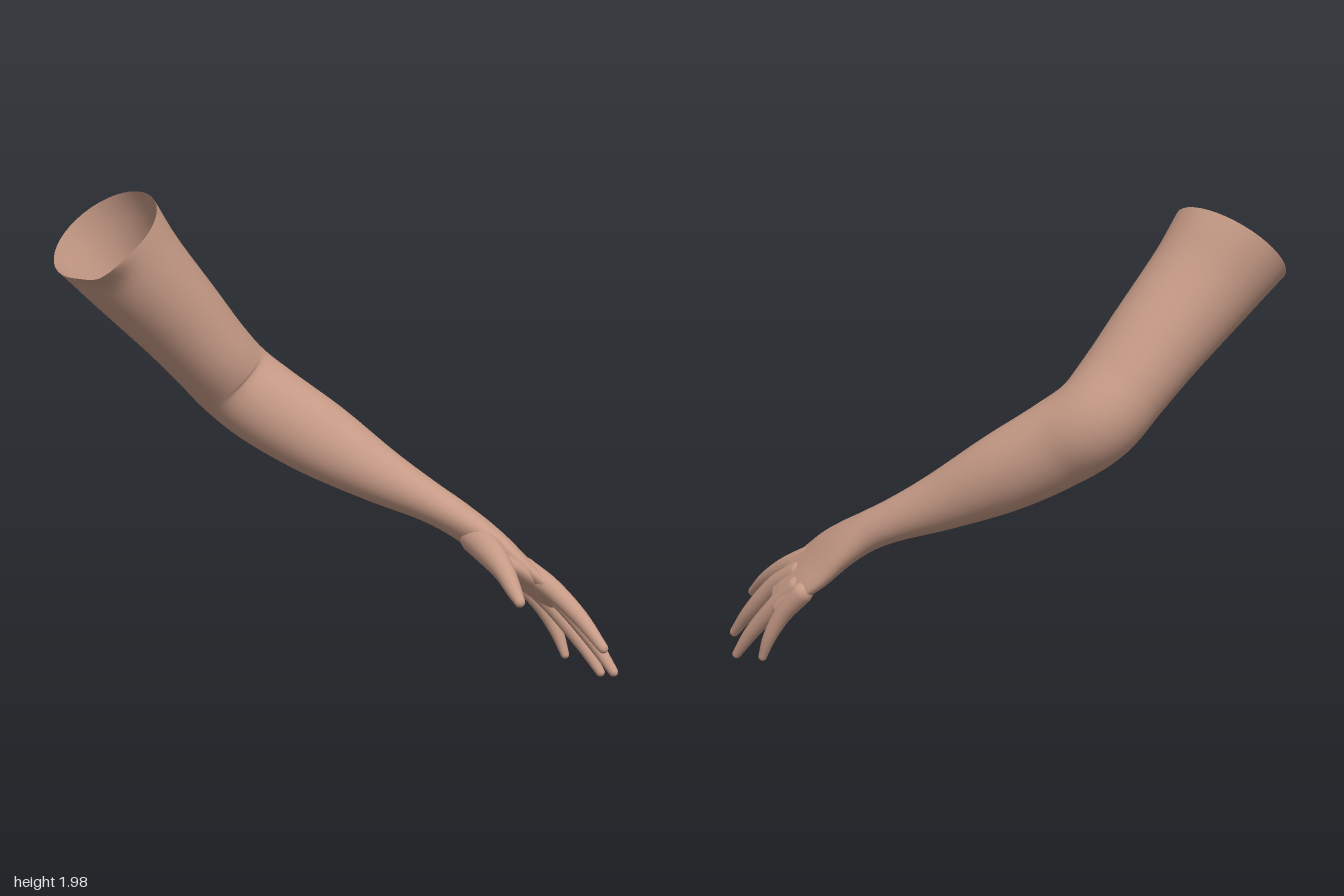
import * as THREE from 'three';

const skin = new THREE.MeshStandardMaterial({ color: 0xc69a86, side: THREE.DoubleSide });
skin.name = 'skin';

const REF = new THREE.Vector3(0.2, 0, -1);

// Smooth skin through elliptical sections [x, y, z, radiusA, radiusB], rounded at the far end.
// warp(point, angle, u, tangent) may reshape single points.
function loft(name, sections, { steps = 5, sides = 24, warp = null, roundStart = false } = {}) {
  const path = new THREE.CatmullRomCurve3(
    sections.map(s => new THREE.Vector3(s[0], s[1], s[2])), false, 'catmullrom');
  const radii = new THREE.CatmullRomCurve3(
    sections.map(s => new THREE.Vector3(s[3], s[4] ?? s[3], 0)), false, 'catmullrom');
  const positions = [], index = [];
  let rings = 0;

  const ring = (u, scale = 1, push = 0) => {
    const t = path.getTangent(u);
    const r = radii.getPoint(u);
    const c = path.getPoint(u).addScaledVector(t, push * r.y);
    const a = REF.clone().addScaledVector(t, -REF.dot(t)).normalize();
    const b = new THREE.Vector3().crossVectors(t, a);
    for (let j = 0; j < sides; j++) {
      const angle = (j / sides) * Math.PI * 2;
      const p = c.clone()
        .addScaledVector(a, Math.cos(angle) * r.x * scale)
        .addScaledVector(b, Math.sin(angle) * r.y * scale);
      if (warp) warp(p, angle, u, t);
      positions.push(p.x, p.y, p.z);
    }
    rings++;
  };

  const capAngles = [0.35, 0.7, 1.05, 1.35, 1.56];
  if (roundStart) [...capAngles].reverse().forEach(k => ring(0, Math.cos(k), -Math.sin(k)));
  const count = (sections.length - 1) * steps;
  for (let i = 0; i <= count; i++) ring(i / count);
  capAngles.forEach(k => ring(1, Math.cos(k), Math.sin(k)));

  for (let i = 0; i < rings - 1; i++) {
    for (let j = 0; j < sides; j++) {
      const k = (j + 1) % sides;
      const p = i * sides + j, q = i * sides + k;
      index.push(p, q, p + sides, q, q + sides, p + sides);
    }
  }
  const geometry = new THREE.BufferGeometry();
  geometry.setAttribute('position', new THREE.Float32BufferAttribute(positions, 3));
  geometry.setIndex(index);
  geometry.computeVertexNormals();
  const mesh = new THREE.Mesh(geometry, skin);
  mesh.name = name;
  return mesh;
}

// Open shoulder rim: higher at the back, with one corner pulled out to a point
function shapeRim(p, angle, u, t) {
  const fade = Math.max(0, 1 - u / 0.08);
  if (fade === 0) return;
  p.addScaledVector(t, -0.06 * Math.cos(angle) * fade);
  const toCorner = p.clone().sub(new THREE.Vector3(-0.8, 1.7, -0.5)).length();
  const pull = Math.exp(-((toCorner / 0.09) ** 2)) * fade * fade;
  p.add(new THREE.Vector3(-0.06, -0.02, 0.07).multiplyScalar(pull));
}

export function createModel() {
  const model = new THREE.Group();
  model.name = 'arm';

  // Upper arm, elbow, forearm, wrist and palm in one skin
  model.add(loft('armAndPalm', [
    [-0.67, 1.83, -0.69, 0.235, 0.245],
    [-0.55, 1.68, -0.66, 0.222, 0.22],
    [-0.36, 1.47, -0.63, 0.21, 0.195],
    [-0.22, 1.31, -0.61, 0.205, 0.18],
    [-0.10, 1.18, -0.59, 0.192, 0.178],
    [0.00, 1.07, -0.48, 0.17, 0.178],
    [0.15, 0.935, -0.31, 0.15, 0.162],
    [0.30, 0.80, -0.11, 0.122, 0.12],
    [0.42, 0.705, 0.05, 0.1, 0.087],
    [0.49, 0.64, 0.16, 0.1, 0.075],
    [0.555, 0.56, 0.27, 0.13, 0.068],
    [0.62, 0.46, 0.38, 0.163, 0.058],
    [0.685, 0.37, 0.48, 0.158, 0.044],
    [0.715, 0.33, 0.525, 0.142, 0.032],
  ], { sides: 40, steps: 6, warp: shapeRim }));

  // Digits, each from inside the palm to the tip
  const digits = {
    thumb: [
      [0.51, 0.57, 0.27, 0.066], [0.465, 0.54, 0.42, 0.06], [0.415, 0.5, 0.56, 0.044],
      [0.372, 0.45, 0.67, 0.032], [0.347, 0.42, 0.735, 0.022]],
    indexFinger: [
      [0.60, 0.47, 0.47, 0.046], [0.64, 0.40, 0.60, 0.043],
      [0.655, 0.31, 0.755, 0.034], [0.65, 0.215, 0.9, 0.021]],
    middleFinger: [
      [0.67, 0.42, 0.44, 0.045], [0.71, 0.34, 0.57, 0.041],
      [0.757, 0.2, 0.71, 0.033], [0.782, 0.075, 0.825, 0.02]],
    ringFinger: [
      [0.71, 0.38, 0.38, 0.045], [0.76, 0.28, 0.48, 0.039],
      [0.813, 0.14, 0.6, 0.031], [0.845, 0.028, 0.682, 0.019]],
    littleFinger: [
      [0.72, 0.37, 0.32, 0.045], [0.77, 0.265, 0.4, 0.037],
      [0.806, 0.155, 0.455, 0.028], [0.82, 0.065, 0.492, 0.018]],
  };
  for (const [name, sections] of Object.entries(digits)) {
    model.add(loft(name, sections, { sides: 18, roundStart: true }));
  }

  // Web of skin between thumb and index finger
  model.add(loft('thumbWeb', [
    [0.45, 0.535, 0.44, 0.05, 0.035],
    [0.53, 0.49, 0.46, 0.075, 0.04],
    [0.61, 0.43, 0.5, 0.07, 0.04],
  ], { sides: 18, roundStart: true }));

  return model;
}
